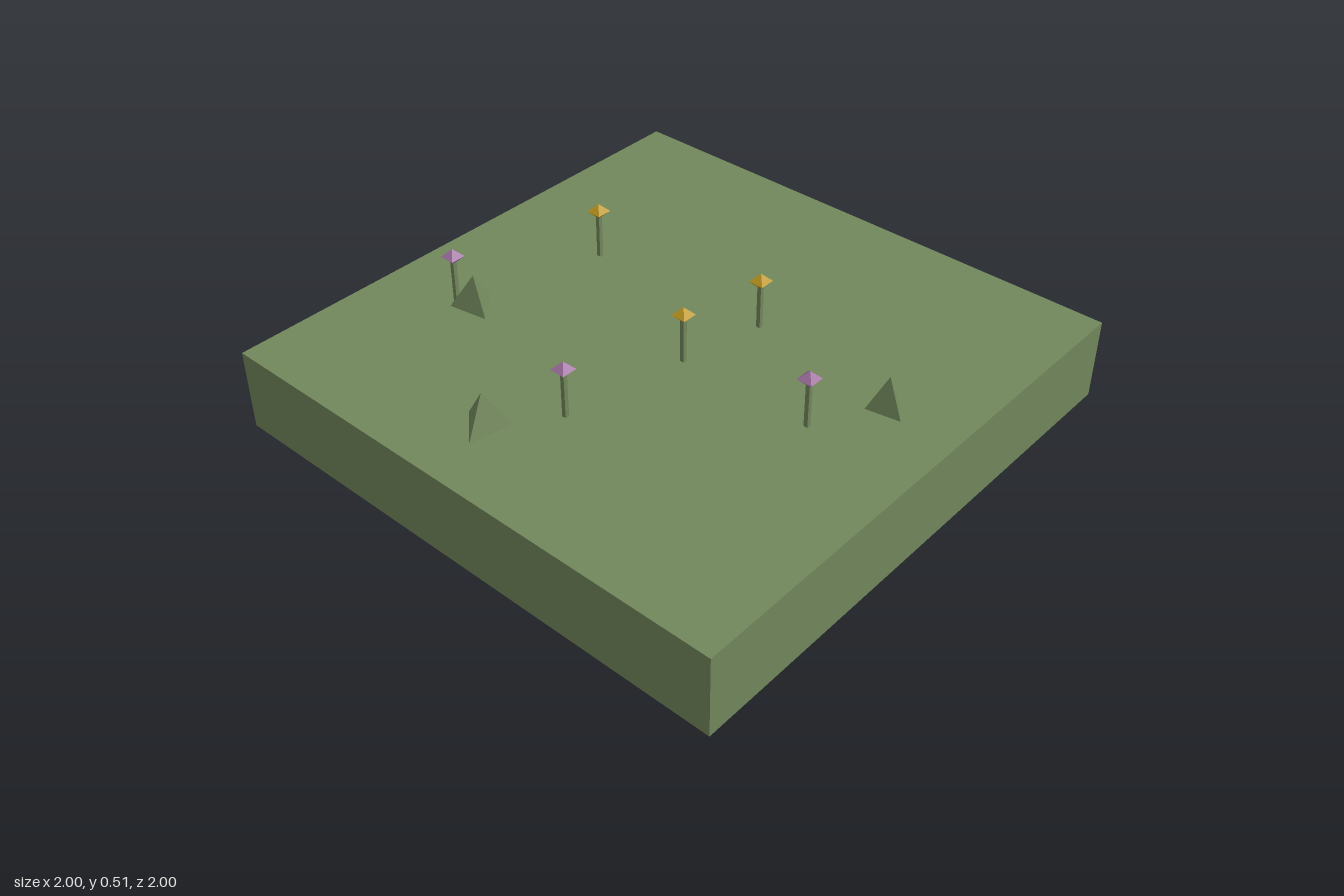
import * as THREE from 'three';

const GROUND = 0.3;

function makeMaterial(name, color, side = THREE.FrontSide) {
  return new THREE.MeshStandardMaterial({ name, color, side, flatShading: true });
}

export function createModel() {
  const model = new THREE.Group();
  model.name = 'meadowTile';

  const green = makeMaterial('mossGreen', 0x72885c, THREE.DoubleSide);
  const purple = makeMaterial('petalPurple', 0xa272a2);
  const gold = makeMaterial('petalGold', 0xbe981f);

  function add(parent, name, geometry, material, x, y, z) {
    const mesh = new THREE.Mesh(geometry, material);
    mesh.name = name;
    mesh.position.set(x, y, z);
    parent.add(mesh);
    return mesh;
  }

  // Ground slab: a top and four thin walls, open underneath
  const slab = new THREE.Group();
  slab.name = 'groundSlab';
  model.add(slab);
  add(slab, 'groundTop', new THREE.PlaneGeometry(2, 2).rotateX(-Math.PI / 2), green, 0, GROUND, 0);
  const wallGeometry = new THREE.PlaneGeometry(2, GROUND).translate(0, GROUND / 2, 1);
  ['frontWall', 'leftWall', 'backWall', 'rightWall'].forEach((name, i) => {
    add(slab, name, wallGeometry, green, 0, 0, 0).rotation.y = i * Math.PI / 2;
  });

  // Three-sided rocks: x, z, radius, height, turn in degrees
  const rocks = [
    [-0.317, -0.63, 0.085, 0.125, -20.5],
    [-0.738, -0.135, 0.09, 0.13, 48],
    [0.147, 0.736, 0.071, 0.125, -20],
  ];
  for (const [x, z, radius, height, turn] of rocks) {
    const geometry = new THREE.ConeGeometry(radius, height, 3);
    const rock = add(model, 'rock', geometry, green, x, GROUND + height / 2, z);
    rock.rotation.y = THREE.MathUtils.degToRad(turn);
  }

  // Flowers: a thin stem with a diamond bloom
  const stemGeometry = new THREE.BoxGeometry(0.015, 0.18, 0.015);
  const bloomGeometry = new THREE.OctahedronGeometry(1)
    .rotateY(Math.PI / 4)
    .scale(0.04, 0.029, 0.04);
  const flowers = [
    [-0.337, -0.7, purple],
    [-0.537, 0.016, purple],
    [-0.083, 0.6, purple],
    [0.193, -0.537, gold],
    [-0.083, 0.098, gold],
    [0.227, 0.16, gold],
  ];
  for (const [x, z, petal] of flowers) {
    const flower = new THREE.Group();
    flower.name = 'flower';
    flower.position.set(x, GROUND, z);
    model.add(flower);
    add(flower, 'stem', stemGeometry, green, 0, 0.09, 0);
    add(flower, 'bloom', bloomGeometry, petal, 0, 0.18, 0);
  }

  return model;
}
